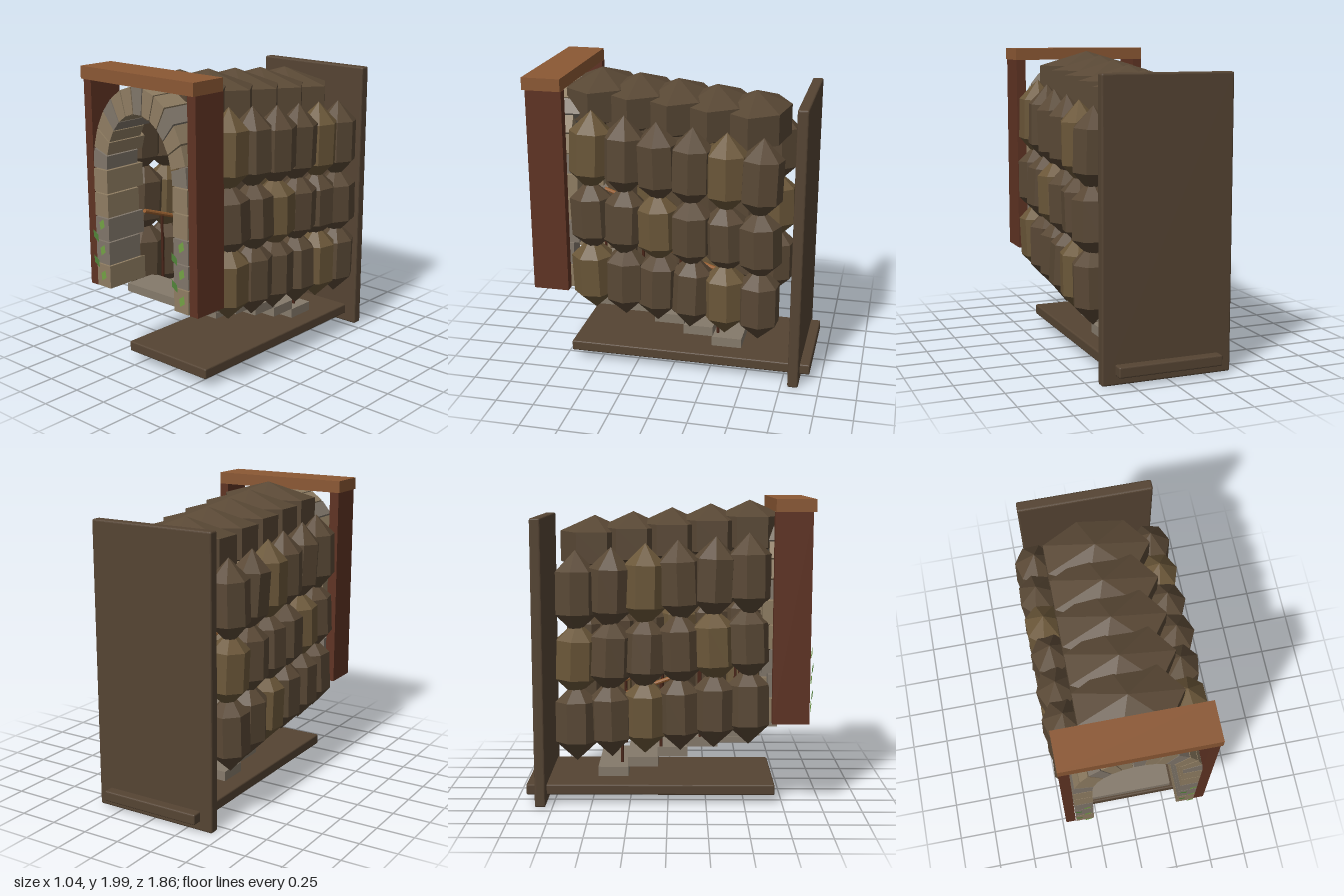
import * as THREE from 'three';
import { RoundedBoxGeometry } from 'three/addons/geometries/RoundedBoxGeometry.js';

const mat = (color, extra = {}) => new THREE.MeshStandardMaterial({ color, flatShading: true, ...extra });
const M = {
  rock: mat(0x594835), rockLight: mat(0x6b5739), slab: mat(0x554433),
  post: mat(0x5f3323), lintel: mat(0x8b5834), rail: mat(0x9a6030), baluster: mat(0x4a2619),
  stone: mat(0x80766a), stoneTan: mat(0x8f7d62), step: mat(0x857a6b),
  leaf: mat(0x78a848, { side: THREE.DoubleSide }), leafDark: mat(0x558a3c, { side: THREE.DoubleSide }),
};

let seed = 11;
const rnd = () => ((seed = (seed * 16807) % 2147483647) / 2147483647);

function add(parent, name, geo, material, x = 0, y = 0, z = 0) {
  const m = new THREE.Mesh(geo, material);
  m.name = name;
  m.position.set(x, y, z);
  parent.add(m);
  return m;
}

// Box given by its limits on each axis
function block(parent, name, material, [x0, x1], [y0, y1], [z0, z1], radius = 0) {
  const s = [x1 - x0, y1 - y0, z1 - z0];
  const geo = radius ? new RoundedBoxGeometry(...s, 2, radius) : new THREE.BoxGeometry(...s);
  return add(parent, name, geo, material, (x0 + x1) / 2, (y0 + y1) / 2, (z0 + z1) / 2);
}

function group(parent, name) {
  const g = new THREE.Group();
  g.name = name;
  parent.add(g);
  return g;
}

export function createModel() {
  seed = 11;
  const root = new THREE.Group();
  root.name = 'tunnelEntrance';

  // Back wall and floor
  block(root, 'backWall', M.slab, [-0.43, 0.43], [0.01, 1.88], [-0.865, -0.795], 0.012);
  block(root, 'floor', M.slab, [-0.345, 0.345], [0.07, 0.14], [-0.93, 0.7], 0.01);

  // Timber frame
  const frame = group(root, 'timberFrame');
  for (const s of [-1, 1])
    block(frame, 'post', M.post, s < 0 ? [-0.475, -0.41] : [0.41, 0.475], [0.58, 1.92], [0.665, 0.9]);
  block(frame, 'lintel', M.lintel, [-0.478, 0.478], [1.92, 2], [0.67, 0.92]);

  // Stone arch: stacked jamb blocks and elliptical wedge stones
  const arch = group(root, 'stoneArch');
  const spring = 1.365, rows = 5, wedges = 13, gap = 0.004;
  const rowH = (spring - 0.58) / rows;
  for (const s of [-1, 1])
    for (let i = 0; i < rows; i++) {
      const y = 0.58 + i * rowH;
      const xs = s < 0 ? [-0.405, -0.285] : [0.285, 0.405];
      block(arch, 'jambStone', i === 0 || i > 2 ? M.stoneTan : M.stone, xs,
        [y + gap, y + rowH - gap], [i % 2 ? 0.64 : 0.6, 0.905]);
    }
  const onEllipse = (rx, ry, a) => new THREE.Vector2(rx * Math.cos(a), spring + ry * Math.sin(a));
  for (let i = 0; i < wedges; i++) {
    const a0 = (i / wedges) * Math.PI + 0.01, a1 = ((i + 1) / wedges) * Math.PI - 0.01;
    const shape = new THREE.Shape([
      onEllipse(0.285, 0.39, a0), onEllipse(0.405, 0.555, a0),
      onEllipse(0.405, 0.555, a1), onEllipse(0.285, 0.39, a1),
    ]);
    const depth = i % 2 ? 0.3 : 0.26;
    add(arch, 'wedgeStone', new THREE.ExtrudeGeometry(shape, { depth, bevelEnabled: false }),
      i % 3 === 0 ? M.stone : M.stoneTan, 0, 0, 0.905 - depth);
  }

  // Side boulders: three rows of six on each side, sinking toward the back
  const boulder = new THREE.SphereGeometry(1, 7, 3);
  const sides = group(root, 'sideBoulders');
  const rowTop = [0.69, 1.095, 1.52], rowHalf = [0.26, 0.25, 0.27];
  for (const s of [-1, 1])
    for (let r = 0; r < 3; r++)
      for (let i = 0; i < 6; i++) {
        const m = add(sides, 'boulder', boulder, (i + 2 * r + (s < 0 ? 1 : 0)) % 4 === 0 ? M.rockLight : M.rock,
          s * (0.375 + rnd() * 0.015), rowTop[r] - i * 0.022, 0.515 - i * 0.22);
        const geo = boulder.clone().rotateY(rnd() * 0.9);
        geo.scale(0.145, rowHalf[r], 0.16);
        m.geometry = geo;
        m.rotation.set((rnd() - 0.5) * 0.08, 0, (rnd() - 0.5) * 0.1);
      }

  // Roof boulders: five wide ones spanning the passage
  const roof = group(root, 'roofBoulders');
  const roofGeo = boulder.clone().rotateY(Math.PI).scale(0.4, 0.197, 0.262);
  for (let i = 0; i < 5; i++)
    add(roof, 'roofBoulder', roofGeo, M.rock, 0, 1.785 - i * 0.025, 0.535 - i * 0.255);

  // Stairs going down toward the back
  const stairs = group(root, 'stairs');
  for (let k = 0; k < 6; k++) {
    const z = -0.36 + k * 0.195, y = 0.208 + k * 0.068;
    block(stairs, 'step', M.step, [-0.27, 0.27], [y - 0.032, y + 0.032], [z - 0.1, z + 0.1]);
  }
  block(stairs, 'landing', M.step, [-0.27, 0.27], [0.535, 0.59], [0.55, 0.77]);
  block(stairs, 'stepSupport', M.step, [-0.27, 0.27], [0.407, 0.445], [0.33, 0.515]);
  block(stairs, 'stepSupport', M.step, [-0.27, 0.27], [0.455, 0.515], [0.5, 0.6]);

  // Sloping handrails on thin balusters
  const rails = group(root, 'handrails');
  const railY = (z) => 0.83 + 0.35 * z;
  for (const s of [-1, 1]) {
    const path = new THREE.LineCurve3(
      new THREE.Vector3(s * 0.255, railY(-0.42), -0.42), new THREE.Vector3(s * 0.255, railY(0.62), 0.62));
    const length = path.getLength();
    const rail = add(rails, 'handrail', new THREE.CylinderGeometry(0.014, 0.014, length, 8), M.rail);
    rail.position.copy(path.getPoint(0.5));
    rail.rotation.x = Math.PI / 2 - Math.atan(0.35);
    for (let i = 0; i < 4; i++) {
      const z = -0.3 + i * 0.255, top = railY(z), bottom = 0.27 + i * 0.085;
      add(rails, 'baluster', new THREE.CylinderGeometry(0.01, 0.01, top - bottom, 6), M.baluster,
        s * 0.255, (top + bottom) / 2, z);
    }
  }

  // Leaves climbing both jambs
  const leaves = group(root, 'leaves');
  const leafGeo = new THREE.ShapeGeometry(new THREE.Shape([
    new THREE.Vector2(0, -0.045), new THREE.Vector2(0.025, 0),
    new THREE.Vector2(0, 0.045), new THREE.Vector2(-0.025, 0),
  ]));
  for (const x of [-0.355, 0.34])
    for (let i = 0; i < 5; i++) {
      const even = i % 2 === 0;
      const leaf = add(leaves, 'leaf', leafGeo, even ? M.leaf : M.leafDark,
        x + (even ? 0.03 : -0.03), 0.67 + i * 0.085, 0.925);
      leaf.rotation.set(0.1, 0, even ? -0.45 : 0.45);
    }

  return root;
}
